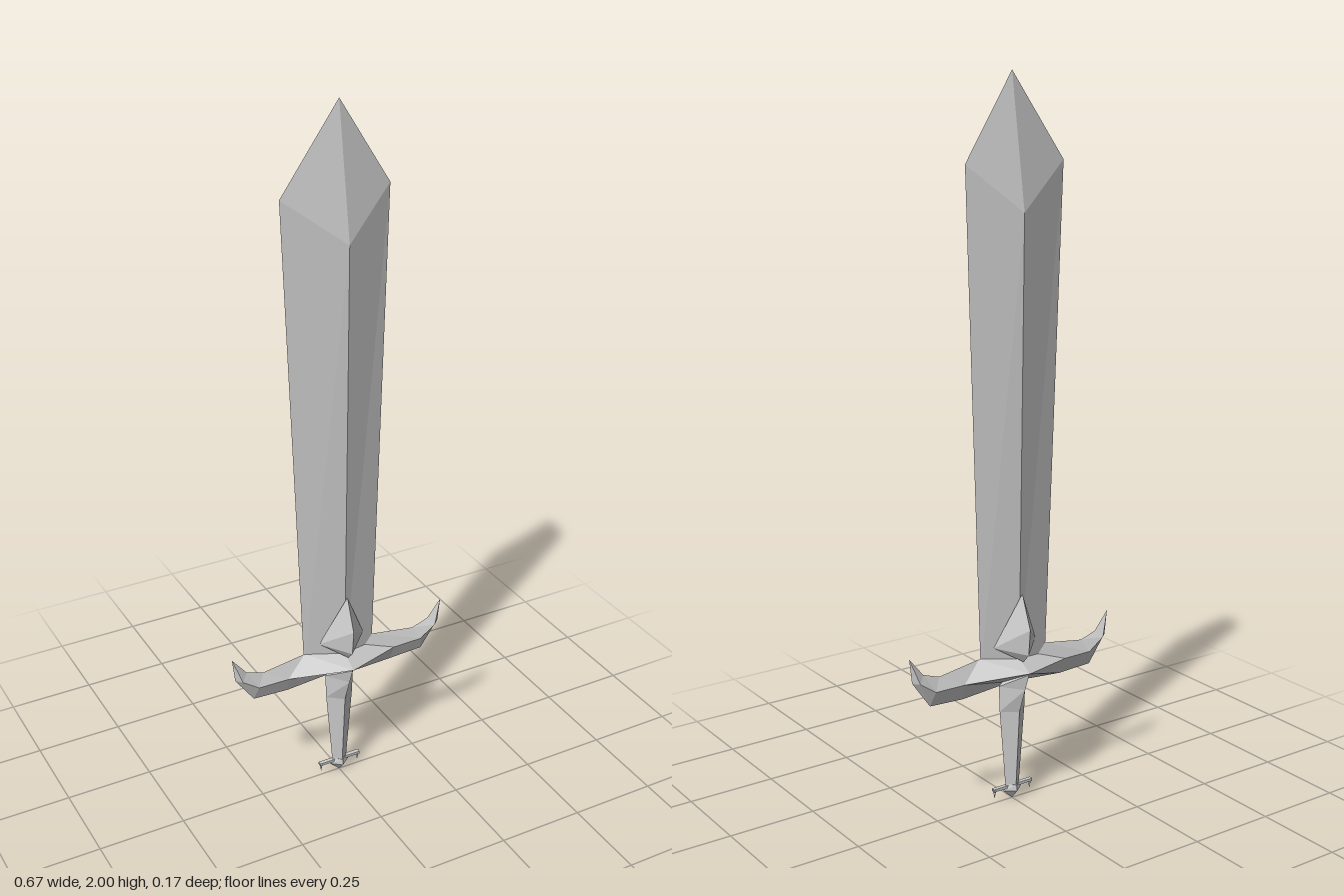
import * as THREE from 'three';
import { ConvexGeometry } from 'three/addons/geometries/ConvexGeometry.js';

const material = new THREE.MeshStandardMaterial({ color: 0xcccccc, flatShading: true });

function part(name, geometry) {
  const mesh = new THREE.Mesh(geometry, material);
  mesh.name = name;
  return mesh;
}

// Joins four-cornered cross-sections into a faceted closed solid
function loft(rings) {
  const pos = [];
  const tri = (a, b, c) => pos.push(...a, ...b, ...c);
  for (let r = 0; r < rings.length - 1; r++) {
    const a = rings[r], b = rings[r + 1];
    for (let i = 0; i < 4; i++) {
      const j = (i + 1) % 4;
      tri(a[i], a[j], b[j]);
      tri(a[i], b[j], b[i]);
    }
  }
  const s = rings[0], e = rings[rings.length - 1];
  tri(s[0], s[2], s[1]);
  tri(s[0], s[3], s[2]);
  tri(e[0], e[1], e[2]);
  tri(e[0], e[2], e[3]);
  const g = new THREE.BufferGeometry();
  g.setAttribute('position', new THREE.Float32BufferAttribute(pos, 3));
  g.computeVertexNormals();
  return g;
}

// Upright diamond section; the ridges may sit at another height than the edges
const upright = (left, right, depth, edgeY, ridgeY = edgeY) => [
  [0, ridgeY, depth], [right, edgeY, 0], [0, ridgeY, -depth], [left, edgeY, 0],
];

// Sideways diamond section of the crossguard
const sideways = ([topX, topY, ridgeX, ridgeY, depth, bottomX, bottomY], side) => [
  [side * topX, topY, 0], [side * ridgeX, ridgeY, depth],
  [side * bottomX, bottomY, 0], [side * ridgeX, ridgeY, -depth],
];

export function createModel() {
  const sword = new THREE.Group();
  sword.name = 'sword';

  // Blade widening towards a pointed tip
  sword.add(part('blade', loft([
    upright(-0.112, 0.105, 0.033, 0.4),
    upright(-0.165, 0.145, 0.055, 1.77, 1.645),
    upright(0, 0, 0, 2),
  ])));

  // Crossguard, from the centre to an upswept tip, mirrored
  const arm = [
    [0, 0.445, 0, 0.4, 0.085, 0, 0.35],
    [0.11, 0.44, 0.17, 0.385, 0.018, 0.165, 0.337],
    [0.24, 0.42, 0.26, 0.385, 0.016, 0.27, 0.342],
    [0.29, 0.437, 0.308, 0.418, 0.015, 0.325, 0.42],
    [0.333, 0.49, 0.333, 0.49, 0, 0.333, 0.49],
  ];
  sword.add(part('crossguard', loft([
    ...arm.slice(1).reverse().map((s) => sideways(s, -1)),
    ...arm.map((s) => sideways(s, 1)),
  ])));

  // Grip flaring into the guard
  sword.add(part('grip', loft([
    upright(-0.022, 0.022, 0.018, 0.03),
    upright(-0.042, 0.042, 0.035, 0.27),
    upright(-0.045, 0.045, 0.062, 0.345),
    upright(-0.01, 0.01, 0.08, 0.395),
  ])));

  // Pointed gem on each face of the blade
  const gemPoints = [
    [0, 0.62, 0.048], [-0.07, 0.467, 0.012], [0.07, 0.467, 0.012], [0, 0.425, 0.055],
    [0, 0.525, 0.085], [0, 0.45, 0.078], [0, 0.53, 0.03],
  ].map((p) => new THREE.Vector3(...p));
  for (const [name, turn] of [['frontGem', 0], ['backGem', Math.PI]]) {
    const gem = part(name, new ConvexGeometry(gemPoints));
    gem.rotation.y = turn;
    sword.add(gem);
  }

  // Small pommel with a point underneath
  sword.add(part('pommel', loft([
    upright(0, 0, 0, 0),
    upright(-0.03, 0.03, 0.024, 0.028),
    upright(-0.022, 0.022, 0.022, 0.046),
  ])));

  // Thin hooks either side of the pommel
  for (const side of [-1, 1]) {
    const hook = new THREE.Group();
    hook.name = side > 0 ? 'leftHook' : 'rightHook';
    const bar = part('hookBar', new THREE.BoxGeometry(0.05, 0.008, 0.012));
    bar.position.set(side * 0.04, 0.039, 0);
    const prong = part('hookProng', new THREE.ConeGeometry(0.007, 0.03, 4));
    prong.rotation.x = Math.PI;
    prong.position.set(side * 0.06, 0.028, 0);
    hook.add(bar, prong);
    sword.add(hook);
  }
  return sword;
}
